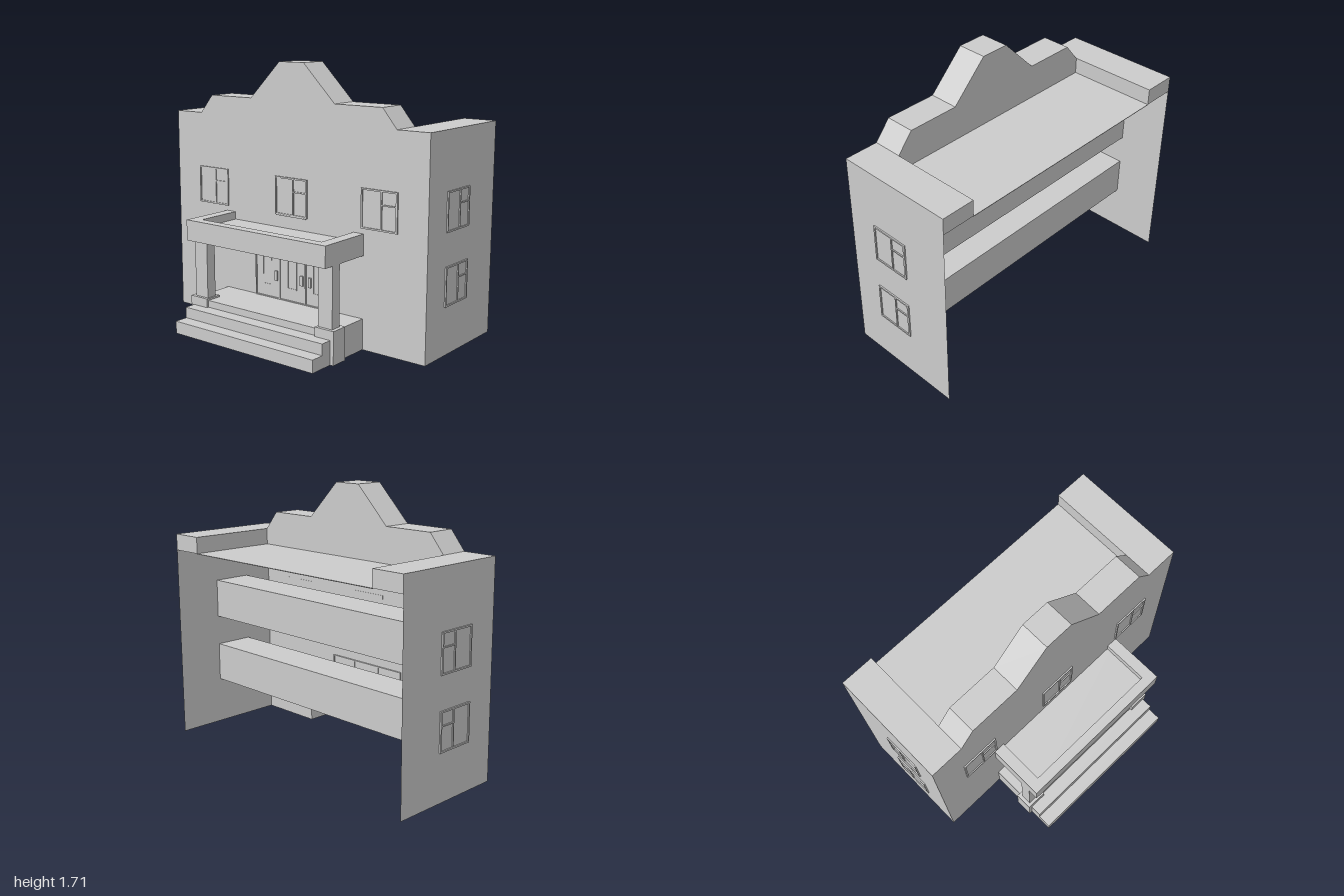
import * as THREE from 'three';

const mat = new THREE.MeshStandardMaterial({ color: 0xcccccc, flatShading: true, side: THREE.DoubleSide });

function add(parent, name, geo) {
  const m = new THREE.Mesh(geo, mat);
  m.name = name;
  parent.add(m);
  return m;
}

// Box given by its lower and upper limits on each axis
function box(parent, name, x0, x1, y0, y1, z0, z1) {
  const g = new THREE.BoxGeometry(x1 - x0, y1 - y0, z1 - z0);
  g.translate((x0 + x1) / 2, (y0 + y1) / 2, (z0 + z1) / 2);
  return add(parent, name, g);
}

const shapeOf = pts => new THREE.Shape(pts.map(p => new THREE.Vector2(p[0], p[1])));
const rect = (x0, x1, y0, y1) => [[x0, y0], [x1, y0], [x1, y1], [x0, y1]];

// Flat frame with openings, extruded along +z
function frame(parent, name, outer, holes, z0, depth) {
  const s = shapeOf(outer);
  holes.forEach(h => s.holes.push(new THREE.Path(shapeOf(h).getPoints())));
  const g = new THREE.ExtrudeGeometry(s, { depth, bevelEnabled: false });
  g.translate(0, 0, z0);
  return add(parent, name, g);
}

// Window with one tall pane and a divided narrow one, facing +z
function makeWindow() {
  const w = new THREE.Group();
  w.name = 'window';
  frame(w, 'windowFrame', rect(-0.128, 0.128, -0.122, 0.122), [
    rect(-0.118, 0.012, -0.112, 0.112),
    rect(0.02, 0.116, -0.112, 0.03),
    rect(0.02, 0.116, 0.038, 0.112),
  ], -0.002, 0.011);
  box(w, 'windowPanes', -0.12, 0.12, -0.115, 0.115, -0.002, 0.002);
  return w;
}

export function createModel() {
  const model = new THREE.Group();
  model.name = 'building';
  const W = 0.99, F = 0.14, B = -0.63, ROOF = 1.25, TOP = 1.355;

  // Thin front wall, open behind the porch steps
  const front = new THREE.ShapeGeometry(shapeOf([
    [-W, 0], [-0.55, 0], [-0.55, 0.195], [0.55, 0.195], [0.55, 0], [W, 0], [W, ROOF], [-W, ROOF],
  ]));
  front.translate(0, 0, F);
  add(model, 'frontWall', front);

  // Roof and stepped front parapet
  box(model, 'roof', -0.77, 0.77, ROOF - 0.004, ROOF, B, -0.05);
  const half = [[0.77, ROOF], [0.77, TOP], [0.67, 1.475], [0.33, 1.475], [0.095, 1.71]];
  const outline = [...half, ...half.map(([x, y]) => [-x, y]).reverse()];
  frame(model, 'frontParapet', outline, [], -0.05, F + 0.05);

  // Side walls, side parapets and their windows
  for (const s of [1, -1]) {
    const side = new THREE.Group();
    side.name = s > 0 ? 'leftSide' : 'rightSide';
    side.scale.x = s;
    const wall = new THREE.PlaneGeometry(F - B, TOP);
    wall.rotateY(Math.PI / 2);
    wall.translate(W, TOP / 2, (F + B) / 2);
    add(side, 'sideWall', wall);
    box(side, 'sideParapet', 0.77, W, ROOF, TOP, B, F);
    for (const y of [0.875, 0.425]) {
      const w = makeWindow();
      w.rotation.y = Math.PI / 2;
      w.position.set(W, y, -0.19);
      side.add(w);
    }
    model.add(side);
  }

  // Long beams crossing the open interior at window height
  for (const y of [0.88, 0.432])
    box(model, 'interiorBeam', -W + 0.002, W - 0.002, y - 0.126, y + 0.126, -0.318, -0.062);

  // Front windows and the central sill
  for (const x of [-0.66, 0, 0.66]) {
    const w = makeWindow();
    w.position.set(x, 0.875, F);
    model.add(w);
  }
  box(model, 'windowSill', -0.12, 0.12, 0.748, 0.756, F, F + 0.01);

  // Three entrance doors with panels and handles
  const doors = new THREE.Group();
  doors.name = 'entranceDoors';
  frame(doors, 'doorFrame', rect(-0.292, 0.314, 0.197, 0.524),
    [-0.284, -0.086, 0.124].map((x, i) => rect(x, [-0.1, 0.114, 0.306][i], 0.203, 0.516)), 0.128, 0.026);
  const leaves = [[-0.284, -0.1, -0.195, -0.118], [-0.086, 0.114, 0.01, 0.09], [0.124, 0.306, 0.215, 0.155]];
  for (const [x0, x1, panel, handle] of leaves) {
    box(doors, 'doorLeaf', x0, x1, 0.203, 0.516, 0.134, 0.147);
    frame(doors, 'doorPanelTrim', rect(panel - 0.038, panel + 0.038, 0.277, 0.473),
      [rect(panel - 0.031, panel + 0.031, 0.284, 0.466)], 0.131, 0.019);
    box(doors, 'doorHandle', handle - 0.011, handle + 0.011, 0.318, 0.382, 0.147, 0.158);
  }
  model.add(doors);

  // Hollow porch platform with two steps: profile in (z, y) swept across x
  const steps = [[0.63, 0], [0.63, 0.08], [0.54, 0.08], [0.54, 0.15], [0.45, 0.15], [0.45, 0.195], [F, 0.195]];
  const pos = [];
  for (let i = 0; i < steps.length - 1; i++) {
    const [za, ya] = steps[i], [zb, yb] = steps[i + 1];
    const a = [-0.55, ya, za], b = [0.55, ya, za], c = [0.55, yb, zb], d = [-0.55, yb, zb];
    pos.push(...a, ...b, ...c, ...a, ...c, ...d);
  }
  const shell = new THREE.BufferGeometry();
  shell.setAttribute('position', new THREE.Float32BufferAttribute(pos, 3));
  shell.computeVertexNormals();
  add(model, 'porchSteps', shell);
  for (const s of [1, -1]) {
    const cheek = new THREE.ShapeGeometry(shapeOf([[F, 0], ...steps].map(([z, y]) => [-z, y])));
    cheek.rotateY(Math.PI / 2);
    if (s < 0) cheek.rotateY(Math.PI).scale(1, 1, -1);
    cheek.translate(s * 0.55, 0, 0);
    add(model, 'porchSide', cheek);
  }

  // Porch posts on pedestals
  for (const s of [1, -1]) {
    const post = new THREE.Group();
    post.name = 'porchPost';
    post.scale.x = s;
    box(post, 'pedestal', 0.435, 0.573, 0, 0.208, 0.35, 0.465);
    box(post, 'column', 0.445, 0.549, 0.208, 0.59, 0.375, 0.445);
    model.add(post);
  }

  // Canopy with a raised rim on three sides
  const canopy = new THREE.Group();
  canopy.name = 'canopy';
  box(canopy, 'canopySlab', -0.55, 0.55, 0.587, 0.67, F, 0.515);
  box(canopy, 'canopyFrontRim', -0.55, 0.55, 0.67, 0.72, 0.45, 0.515);
  for (const s of [1, -1])
    box(canopy, 'canopySideRim', s * 0.5125 - 0.0375, s * 0.5125 + 0.0375, 0.67, 0.72, F, 0.45);
  model.add(canopy);

  return model;
}
